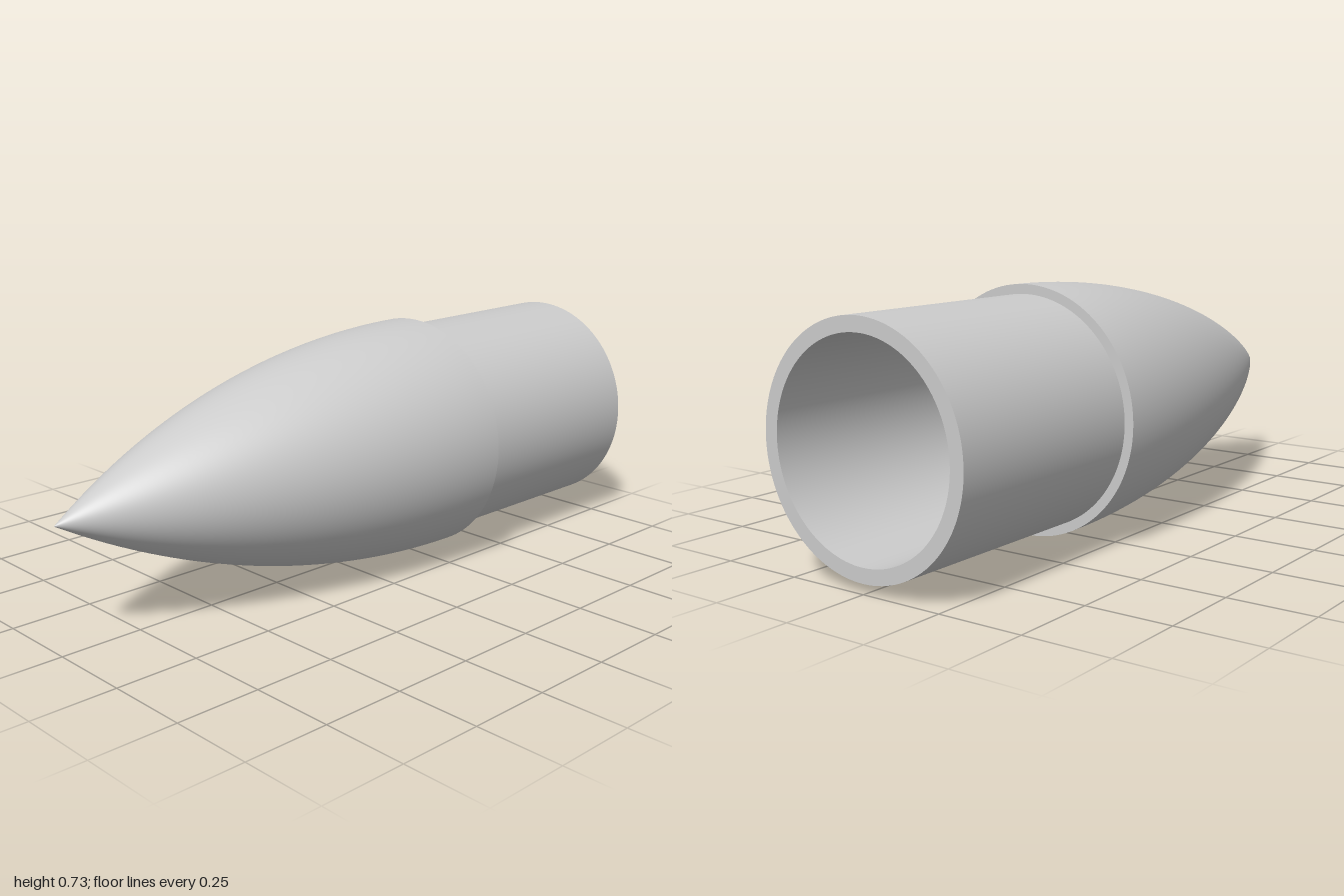
import * as THREE from 'three';

const TIP = -1, SHOULDER = 0.333, END = 1; // stations along the x axis
const R_NOSE = 0.364, R_SLEEVE = 0.336, R_BORE = 0.294;
const LENGTH = SHOULDER - TIP;
const RHO = (R_NOSE ** 2 + LENGTH ** 2) / (2 * R_NOSE); // radius of the ogive arc

// Tangent ogive, from the pointed tip to the shoulder; wall offsets it inwards
function ogive(wall, steps = 40) {
  const rho = RHO - wall, drop = RHO - R_NOSE;
  const sweep = Math.acos(drop / rho);
  return Array.from({ length: steps + 1 }, (_, i) => {
    const a = sweep * (1 - i / steps);
    return [Math.max(0, rho * Math.cos(a) - drop), SHOULDER - rho * Math.sin(a)];
  });
}

export function createModel() {
  const group = new THREE.Group();
  group.name = 'noseCone';
  const material = new THREE.MeshStandardMaterial({ color: 0xcccccc });

  // Each surface is its own lathe of [radius, x] points, so the rims stay sharp
  const surface = (name, profile) => {
    const points = profile.map(([r, x]) => new THREE.Vector2(r, x));
    const geometry = new THREE.LatheGeometry(points, 128);
    geometry.rotateZ(-Math.PI / 2);
    const mesh = new THREE.Mesh(geometry, material);
    mesh.name = name;
    mesh.position.y = R_NOSE;
    group.add(mesh);
  };

  // Outside, from the tip to the open end
  surface('noseShell', ogive(0));
  surface('shoulderStep', [[R_NOSE, SHOULDER], [R_SLEEVE, SHOULDER]]);
  surface('sleeve', [[R_SLEEVE, SHOULDER], [R_SLEEVE, END]]);
  surface('endRim', [[R_SLEEVE, END], [R_BORE, END]]);

  // Hollow inside, back to the inner tip
  surface('bore', [[R_BORE, END], [R_BORE, SHOULDER]]);
  surface('noseCavity', ogive(R_NOSE - R_BORE).reverse());

  return group;
}
